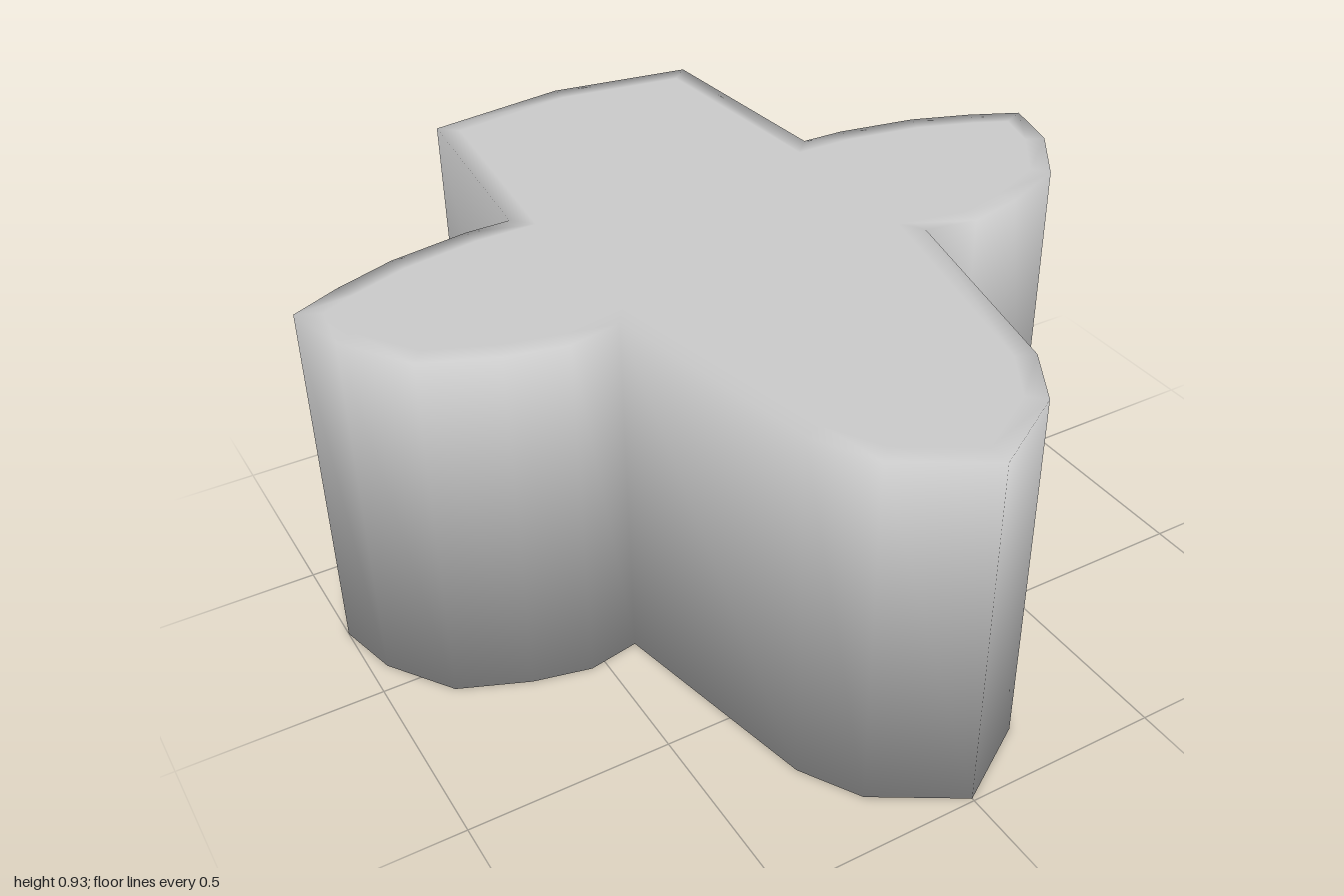
import * as THREE from 'three';
import { mergeVertices } from 'three/addons/utils/BufferGeometryUtils.js';

const HEIGHT = 0.93;
const INSET = 0.05;

// Right half of the plan as [x, z], from the back tip to the front tip
const HALF = [
  [0, -1], [0.37, -0.945], [0.417, -0.387], [0.53, -0.385], [0.73, -0.35],
  [0.88, -0.295], [1, -0.237], [0.96, -0.08], [0.85, 0.08], [0.68, 0.152],
  [0.537, 0.185], [0.407, 0.16], [0.29, 0.72], [0.205, 0.865], [0, 0.993],
];

export function createModel() {
  const group = new THREE.Group();
  group.name = 'crossBlock';

  // Mirror the half plan into a closed outline
  const mirrored = HALF.slice(1, -1).reverse().map(([x, z]) => [-x, z]);
  const outline = [...HALF, ...mirrored].map(([x, z]) => new THREE.Vector2(x, -z));

  // A zero-height bevel gives each flat cap a narrow rim for soft edge shading
  let geometry = new THREE.ExtrudeGeometry(new THREE.Shape(outline), {
    depth: HEIGHT, bevelEnabled: true, bevelSegments: 1,
    bevelThickness: 0, bevelSize: INSET, bevelOffset: -INSET,
  });
  geometry.rotateX(-Math.PI / 2);
  geometry.deleteAttribute('uv');
  geometry.deleteAttribute('normal');
  geometry = mergeVertices(geometry, 1e-4);
  geometry.computeVertexNormals();

  // Tilt the rim normals so the walls blend smoothly into both caps
  const { position, normal } = geometry.attributes;
  const n = new THREE.Vector3();
  for (let i = 0; i < normal.count; i++) {
    n.fromBufferAttribute(normal, i);
    const flat = Math.hypot(n.x, n.z);
    if (flat < 0.05) continue;
    n.y = flat * 0.8 * (position.getY(i) > HEIGHT / 2 ? 1 : -1);
    n.normalize();
    normal.setXYZ(i, n.x, n.y, n.z);
  }

  const block = new THREE.Mesh(geometry, new THREE.MeshStandardMaterial({ color: 0xcccccc }));
  block.name = 'block';
  group.add(block);
  return group;
}
